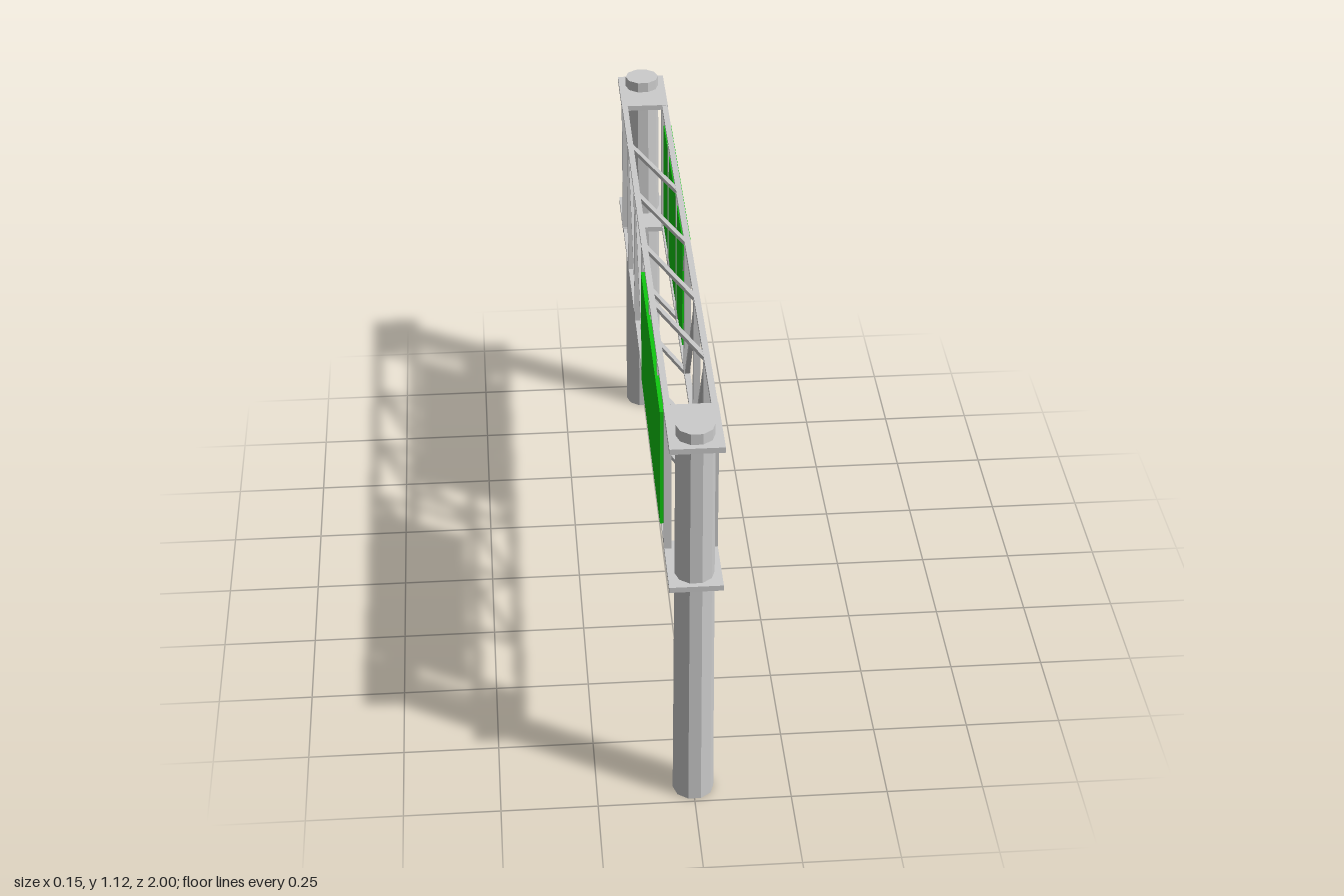
import * as THREE from 'three';

const grey = new THREE.MeshStandardMaterial({ color: 0xcccccc, flatShading: true });
const green = new THREE.MeshStandardMaterial({ color: 0x10c810, flatShading: true });

const LOW = 0.682, HIGH = 1.088;   // heights of the lower and upper chords
const SIDE = 0.058;                // x of each truss face
const stations = [0.595, 0.304, 0.013, -0.278, -0.569];

export function createModel() {
  const model = new THREE.Group();

  const add = (name, geometry, x, y, z, material = grey) => {
    const mesh = new THREE.Mesh(geometry, material);
    mesh.name = name;
    mesh.position.set(x, y, z);
    model.add(mesh);
    return mesh;
  };
  const box = (name, w, h, d, x, y, z, material) =>
    add(name, new THREE.BoxGeometry(w, h, d), x, y, z, material);

  // square bar between two points
  const bar = (name, a, b, t) => {
    const p = new THREE.Vector3(...a), q = new THREE.Vector3(...b);
    const mid = p.clone().add(q).multiplyScalar(0.5);
    const mesh = box(name, t, t, p.distanceTo(q), mid.x, mid.y, mid.z);
    mesh.lookAt(q);
  };

  // tapered ten-sided posts with a collar plate at each chord level
  for (const s of [1, -1]) {
    add('post', new THREE.CylinderGeometry(0.048, 0.053, 1.125, 10, 1, false, Math.PI / 10),
      0, 0.5625, s * 0.938);
    for (const y of [LOW, HIGH]) box('collarPlate', 0.134, 0.015, 0.196, 0, y, s * 0.902);
  }

  for (const x of [SIDE, -SIDE]) {
    // long chords
    for (const y of [LOW, HIGH]) box('chord', 0.016, 0.013, 1.62, x, y, 0);
    // uprights, including the ones beside the posts
    for (const z of [0.826, ...stations, -0.817])
      box('upright', 0.018, HIGH - LOW, 0.02, x, (LOW + HIGH) / 2, z);
  }

  // bracing in each bay: opposite slopes on the two faces, and slanted ties above and below
  for (let i = 0; i < stations.length - 1; i++) {
    const a = stations[i], b = stations[i + 1];
    bar('faceBrace', [SIDE, HIGH, a], [SIDE, LOW, b], 0.012);
    bar('faceBrace', [-SIDE, LOW, a], [-SIDE, HIGH, b], 0.012);
    for (const y of [LOW, HIGH]) bar('crossTie', [SIDE, y, a], [-SIDE, y, b], 0.012);
  }

  // one sign panel on each face, facing opposite ways
  box('signPanel', 0.022, 0.333, 0.68, 0.062, 0.888, -0.413, green);
  box('signPanel', 0.022, 0.333, 0.68, -0.062, 0.888, 0.432, green);

  return model;
}
